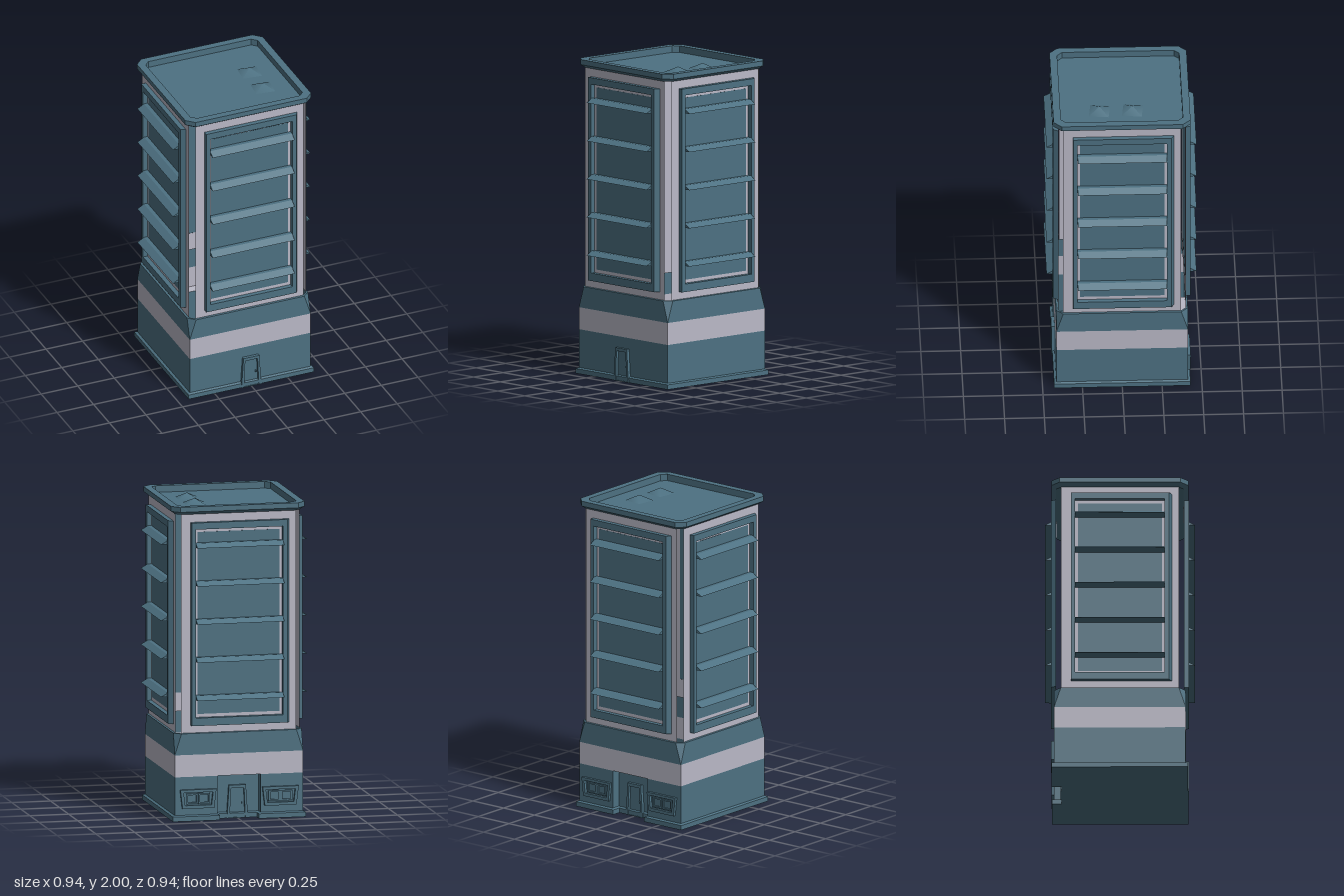
import * as THREE from 'three';

const teal = new THREE.MeshStandardMaterial({ color: 0x4d7182, side: THREE.DoubleSide });
teal.name = 'teal';
const pale = new THREE.MeshStandardMaterial({ color: 0xbab9c7, side: THREE.DoubleSide });
pale.name = 'pale lavender';

function add(parent, name, geometry, material, x = 0, y = 0, z = 0) {
  const mesh = new THREE.Mesh(geometry, material);
  mesh.name = name;
  mesh.position.set(x, y, z);
  parent.add(mesh);
  return mesh;
}

// Plan outlines as [x, z] corners, walked along the front towards +x
const octagon = (h, c) => [
  [-h + c, h], [h - c, h], [h, h - c], [h, -h + c],
  [h - c, -h], [-h + c, -h], [-h, -h + c], [-h, h - c],
];
const RECESS = 0.06;
function baseOutline(h) {
  const r = 0.14 - (h - 0.413), back = -h + RECESS;
  return [[-h, h], [h, h], [h, -h], [r, -h], [r, back], [-r, back], [-r, -h], [-h, -h]];
}

// Flat-faced skin through a stack of [outline, y] rings
function loft(rings) {
  const pos = [];
  for (let i = 0; i + 1 < rings.length; i++) {
    const [lo, y0] = rings[i], [hi, y1] = rings[i + 1];
    for (let j = 0; j < lo.length; j++) {
      const k = (j + 1) % lo.length;
      const a = [lo[j][0], y0, lo[j][1]], b = [lo[k][0], y0, lo[k][1]];
      const c = [hi[k][0], y1, hi[k][1]], d = [hi[j][0], y1, hi[j][1]];
      pos.push(...a, ...b, ...c, ...a, ...c, ...d);
    }
  }
  const g = new THREE.BufferGeometry();
  g.setAttribute('position', new THREE.Float32BufferAttribute(pos, 3));
  g.computeVertexNormals();
  return g;
}

// Horizontal cap over an outline
function cap(outline, up = true) {
  const s = new THREE.Shape(outline.map(([x, z]) => new THREE.Vector2(x, up ? -z : z)));
  return new THREE.ShapeGeometry(s).rotateX(up ? -Math.PI / 2 : Math.PI / 2);
}

// Trapezoid in the facade plane: bottom and top half widths
const trapezoid = (wb, wt, y0, y1) =>
  [[-wb, y0], [wb, y0], [wt, y1], [-wt, y1]].map(([x, y]) => new THREE.Vector2(x, y));

function frame(outer, inner, depth) {
  const s = new THREE.Shape(outer);
  s.holes.push(new THREE.Path(inner));
  return depth ? new THREE.ExtrudeGeometry(s, { depth, bevelEnabled: false }) : new THREE.ShapeGeometry(s);
}

// Door with tapered surround, leaf and handle
function makeDoor(name) {
  const door = new THREE.Group();
  door.name = name;
  add(door, 'doorSurround',
    frame(trapezoid(0.068, 0.054, 0, 0.21), trapezoid(0.05, 0.042, 0.004, 0.19), 0.02), teal);
  add(door, 'doorLeaf', new THREE.ShapeGeometry(new THREE.Shape(trapezoid(0.05, 0.042, 0.004, 0.19))), teal, 0, 0, 0.003);
  add(door, 'doorHandle', new THREE.BoxGeometry(0.008, 0.012, 0.008), teal, 0.034, 0.095, 0.007);
  return door;
}

// Two-pane window in a surround that widens upwards
function makeWindow() {
  const win = new THREE.Group();
  win.name = 'window';
  add(win, 'windowSurround',
    frame(trapezoid(0.102, 0.116, 0.08, 0.2), trapezoid(0.085, 0.095, 0.1, 0.182), 0.018), teal);
  for (const s of [-1, 1]) {
    add(win, 'windowPaneFrame',
      frame(trapezoid(0.038, 0.038, 0.108, 0.174), trapezoid(0.027, 0.027, 0.118, 0.164), 0.01),
      teal, s * 0.039);
  }
  return win;
}

// One tower facade: wall, glazing, raised frame and sloping fins
function makeFacade() {
  const facade = new THREE.Group();
  facade.name = 'facade';
  const glass = trapezoid(0.264, 0.264, 0.676, 1.834);
  add(facade, 'wall', frame(trapezoid(0.37, 0.37, 0.557, 1.955), glass, 0), pale, 0, 0, 0.4);
  add(facade, 'glazing', new THREE.ShapeGeometry(new THREE.Shape(glass)), teal, 0, 0, 0.401);

  const raised = frame(trapezoid(0.308, 0.308, 0.605, 1.897), trapezoid(0.28, 0.28, 0.655, 1.855), 0.031);
  const p = raised.attributes.position;
  for (let i = 0; i < p.count; i++) { // splay one outer edge
    if (p.getX(i) > 0.3 && p.getZ(i) < 0.01) p.setX(i, 0.326);
  }
  raised.computeVertexNormals();
  add(facade, 'raisedFrame', raised, teal, 0, 0, 0.401);

  // Fin profile in (z, y), extruded across the facade
  const profile = new THREE.Shape([[0, -0.012], [0.07, -0.009], [0.025, 0.016], [0, 0.016]]
    .map(([z, y]) => new THREE.Vector2(-z, y)));
  for (let i = 0; i < 5; i++) {
    const fin = new THREE.ExtrudeGeometry(profile, { depth: 0.56, bevelEnabled: false });
    fin.translate(0, 0, -0.28).rotateY(Math.PI / 2);
    add(facade, 'fin', fin, teal, 0, 0.78 + i * 0.2425, 0.401);
  }
  return facade;
}

export function createModel() {
  const model = new THREE.Group();
  model.name = 'officeTower';

  // Hollow base with an entrance recess at the back
  const H = 0.413, base = baseOutline(H);
  add(model, 'baseWalls', loft([[base, 0], [base, 0.28]]), teal);
  add(model, 'plinth', loft([[baseOutline(0.428), 0], [baseOutline(0.428), 0.03], [base, 0.037]]), teal);
  add(model, 'baseFloor', cap(baseOutline(0.428), false), teal);
  add(model, 'recessCeiling', cap([[-0.14, -H + RECESS], [0.14, -H + RECESS], [0.14, -H], [-0.14, -H]], false),
    pale, 0, 0.28, 0);

  // Pale band, then a collar turning the square plan into an octagon
  const square = octagon(H, 0);
  add(model, 'paleBand', loft([[square, 0.28], [square, 0.42]]), pale);
  add(model, 'collar',
    loft([[square, 0.42], [octagon(H, 0.043), 0.555], [octagon(0.4, 0.03), 0.557]]), teal);

  // Openings
  const frontDoor = makeDoor('frontDoor');
  frontDoor.position.z = H;
  model.add(frontDoor);
  const rear = new THREE.Group();
  rear.name = 'rearEntrance';
  rear.rotation.y = Math.PI;
  const backDoor = makeDoor('backDoor');
  backDoor.position.z = H - RECESS;
  rear.add(backDoor);
  for (const s of [-1, 1]) {
    const win = makeWindow();
    win.position.set(s * 0.265, 0, H);
    rear.add(win);
  }
  model.add(rear);

  // Four facades, open at the corners
  for (let i = 0; i < 4; i++) {
    const facade = makeFacade();
    facade.rotation.y = i * Math.PI / 2;
    model.add(facade);
  }

  // Roof tray with raised rim
  const under = octagon(0.4, 0.03), rim = octagon(0.43, 0.05), inner = octagon(0.383, 0.032);
  add(model, 'roofRim', loft([[under, 1.948], [rim, 1.968], [rim, 2], [inner, 2], [inner, 1.958]]), teal);
  add(model, 'roofFloor', cap(inner), teal, 0, 1.958, 0);
  add(model, 'roofUnderside', cap(under, false), teal, 0, 1.948, 0);

  // Low pyramid vents
  for (const z of [-0.072, 0.136]) {
    const vent = add(model, 'roofVent', new THREE.ConeGeometry(0.088, 0.036, 4), teal, 0.206, 1.976, z);
    vent.rotation.y = Math.PI / 4 - 0.11;
  }
  return model;
}
